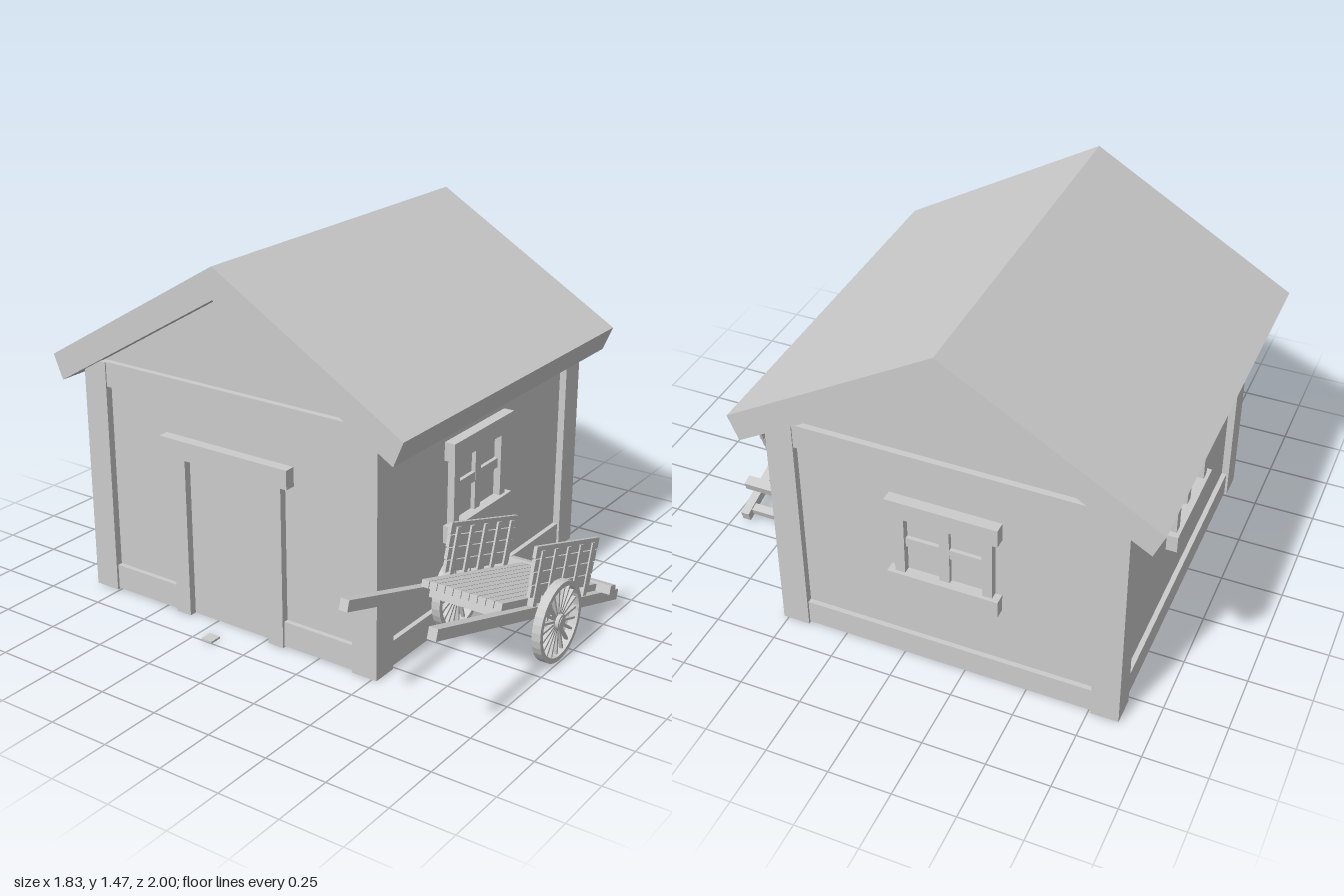
import * as THREE from 'three';

const mat = new THREE.MeshStandardMaterial({ color: 0xcccccc });
const thin = new THREE.MeshStandardMaterial({ color: 0xcccccc, side: THREE.DoubleSide });

function add(parent, name, geometry, material = mat) {
  const mesh = new THREE.Mesh(geometry, material);
  mesh.name = name;
  parent.add(mesh);
  return mesh;
}

function group(parent, name) {
  const g = new THREE.Group();
  g.name = name;
  parent.add(g);
  return g;
}

// Box given by its limits on each axis
function box(parent, name, x0, x1, y0, y1, z0, z1) {
  const mesh = add(parent, name, new THREE.BoxGeometry(x1 - x0, y1 - y0, z1 - z0));
  mesh.position.set((x0 + x1) / 2, (y0 + y1) / 2, (z0 + z1) / 2);
  return mesh;
}

const polygon = (pts) => new THREE.Shape(pts.map(([x, y]) => new THREE.Vector2(x, y)));

// House half sizes: outer faces of the posts, and the walls set back between them
const HX = 0.75, HZ = 0.695, INSET = 0.03, POST = 0.11;
const WX = HX - INSET, WZ = HZ - INSET;

// Window facing +z with the wall surface at z = 0
function makeWindow() {
  const w = new THREE.Group();
  w.name = 'window';
  box(w, 'lintel', -0.22, 0.22, 0.7, 0.775, -0.01, 0.045);
  box(w, 'sill', -0.22, 0.22, 0.36, 0.432, -0.01, 0.045);
  for (const s of [-1, 1]) box(w, 'jamb', s * 0.173 - 0.02, s * 0.173 + 0.02, 0.432, 0.7, -0.01, 0.03);
  box(w, 'verticalBar', -0.02, 0.02, 0.432, 0.7, -0.02, 0.018);
  box(w, 'horizontalBar', -0.153, 0.153, 0.55, 0.59, -0.02, 0.016);
  return w;
}

function makeHouse() {
  const house = new THREE.Group();
  house.name = 'house';

  // Corner posts
  for (const sx of [-1, 1]) for (const sz of [-1, 1]) {
    const x = sx * (HX - POST / 2), z = sz * (HZ - POST / 2);
    box(house, 'cornerPost', x - POST / 2, x + POST / 2, 0, 0.98, z - POST / 2, z + POST / 2);
  }

  // Front and back walls with base boards
  for (const s of [-1, 1]) {
    const side = group(house, s > 0 ? 'frontWall' : 'backWall');
    add(side, 'wallPanel', new THREE.PlaneGeometry(2 * WX, 0.97), thin).position.y = 0.485;
    box(side, 'baseBoard', -HX + POST, HX - POST, 0.005, 0.108, -0.02, 0.02);
    const win = makeWindow();
    win.position.x = s * -0.04;
    side.add(win);
    side.position.z = s * WZ;
    side.rotation.y = s > 0 ? 0 : Math.PI;
  }

  // Gable walls, the left one with a window and the right one with a doorway
  const gable = polygon([[-WZ, 0], [WZ, 0], [WZ, 0.96], [0, 1.345], [-WZ, 0.96]]);
  for (const s of [-1, 1]) {
    const side = group(house, s > 0 ? 'windowGable' : 'doorGable');
    const reach = HZ - POST;
    add(side, 'wallPanel', new THREE.ShapeGeometry(gable), thin);
    box(side, 'tieBeam', -reach, reach, 0.88, 0.982, -0.02, 0.025);
    if (s > 0) {
      box(side, 'baseBoard', -reach, reach, 0.005, 0.108, -0.02, 0.02);
      side.add(makeWindow());
    } else {
      box(side, 'doorLintel', -0.305, 0.305, 0.668, 0.745, -0.01, 0.045);
      for (const d of [-1, 1]) {
        box(side, 'doorJamb', d * 0.23 - 0.035, d * 0.23 + 0.035, 0, 0.668, -0.01, 0.03);
        box(side, 'baseBoard', Math.min(d * 0.265, d * reach), Math.max(d * 0.265, d * reach),
          0.005, 0.108, -0.02, 0.02);
      }
    }
    side.position.x = s * WX;
    side.rotation.y = s * Math.PI / 2;
  }

  // Roof: one folded slab running along x
  const roofShape = polygon([[-0.825, 0.98], [-0.783, 0.88], [0, 1.34], [0.783, 0.88], [0.825, 0.98], [0, 1.465]]);
  const roofGeo = new THREE.ExtrudeGeometry(roofShape, { depth: 1.57, bevelEnabled: false });
  roofGeo.translate(0, 0, -0.785).rotateY(Math.PI / 2);
  add(house, 'roof', roofGeo);

  // Small flat stone outside the door
  box(house, 'groundPlate', -0.88, -0.83, 0, 0.008, -0.03, 0.02);

  house.position.set(0.13, 0, -0.175);
  return house;
}

// Spoked wheel around z
function makeWheel() {
  const R = 0.16, width = 0.036, spokes = 20;
  const wheel = new THREE.Group();
  wheel.name = 'wheel';
  const profile = [[R - 0.02, -1], [R, -1], [R, 1], [R - 0.02, 1], [R - 0.02, -1]]
    .map(([r, s]) => new THREE.Vector2(r, s * width / 2));
  const rimGeo = new THREE.LatheGeometry(profile, 32).toNonIndexed().rotateX(Math.PI / 2);
  rimGeo.computeVertexNormals();
  add(wheel, 'rim', rimGeo);
  add(wheel, 'hub', new THREE.CylinderGeometry(0.03, 0.03, 0.042, 16).rotateX(Math.PI / 2));
  add(wheel, 'hubCap', new THREE.CylinderGeometry(0.02, 0.02, 0.048, 16).rotateX(Math.PI / 2));
  for (let i = 0; i < spokes; i++) {
    const spoke = add(wheel, 'spoke', new THREE.BoxGeometry(0.118, 0.009, 0.014).translate(0.085, 0, 0));
    spoke.rotation.z = (i / spokes) * Math.PI * 2;
  }
  return wheel;
}

// Cart built level around the axle, then tipped towards its tail
function makeCart() {
  const cart = new THREE.Group();
  cart.name = 'cart';

  for (const s of [-1, 1]) {
    box(cart, 'shaft', -0.86, 0.57, 0.02, 0.063, s * 0.178 - 0.018, s * 0.178 + 0.018);
    const wheel = makeWheel();
    wheel.position.z = s * 0.216;
    cart.add(wheel);
    box(cart, 'axleBlock', -0.04, 0.04, -0.02, 0.02, s * 0.178 - 0.016, s * 0.178 + 0.016);

    // Slatted side with upright stakes
    const side = group(cart, 'sidePanel');
    for (let i = 0; i < 4; i++) {
      const y = 0.1 + i * 0.049, flare = 0.004 * i;
      box(side, 'sideSlat', -0.205 - flare, 0.298 + flare, y, y + 0.045, -0.007, 0.007);
    }
    for (let i = 0; i < 5; i++) {
      const x = -0.165 + i * 0.106;
      box(side, 'stake', x - 0.014, x + 0.014, 0.065, 0.275, -0.015, 0.013);
    }
    side.position.z = s * 0.18;
    side.scale.z = 1;
    side.rotation.y = s > 0 ? 0 : Math.PI;
    if (s < 0) side.position.x = 0.093;
  }

  // Deck planks
  const planks = 10, pitch = 0.034;
  for (let i = 0; i < planks; i++) {
    const z = (i - planks / 2) * pitch;
    box(cart, 'deckPlank', -0.375, 0.41, 0.064, 0.092, z + 0.0015, z + pitch - 0.0015);
  }

  // Cross members
  box(cart, 'tailBoard', 0.41, 0.455, 0.063, 0.1, -0.23, 0.23);
  box(cart, 'endBar', 0.505, 0.54, 0.026, 0.056, -0.165, 0.165);
  for (const x of [-0.3, 0.27]) box(cart, 'deckBearer', x - 0.02, x + 0.02, 0.022, 0.064, -0.165, 0.165);
  add(cart, 'axle', new THREE.CylinderGeometry(0.014, 0.014, 0.43, 12).rotateX(Math.PI / 2));

  cart.position.set(-0.1, 0.161, 0.76);
  cart.rotation.z = -0.3;
  return cart;
}

export function createModel() {
  const model = new THREE.Group();
  model.name = 'houseWithCart';
  model.add(makeHouse(), makeCart());
  return model;
}
